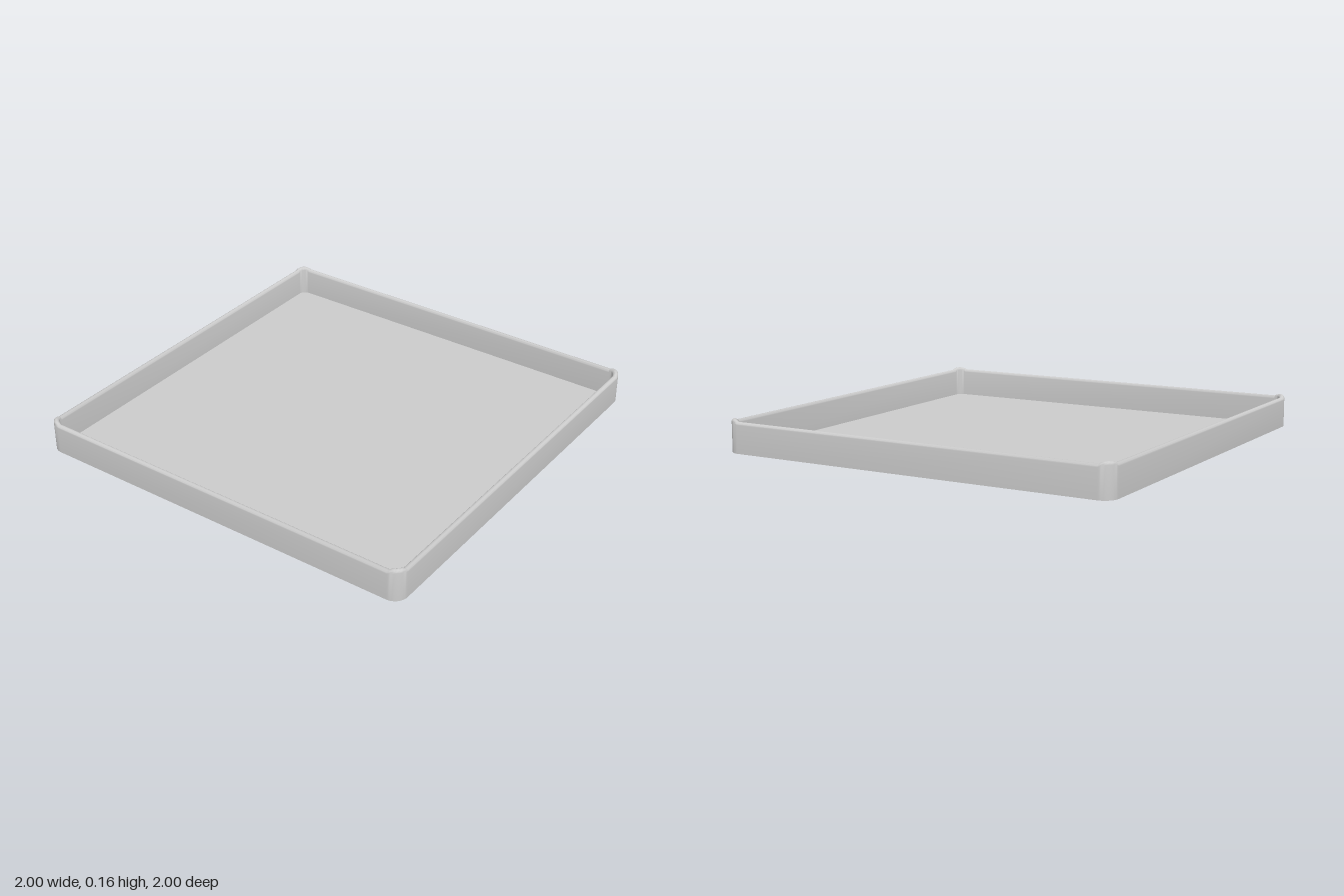
import * as THREE from 'three';
import { toCreasedNormals } from 'three/addons/utils/BufferGeometryUtils.js';

const RADIUS = 0.065, WALL = 0.027, HEIGHT = 0.149, LIFT = 0.011, FLOOR = 0.006;
const ARC = 12; // segments per corner

// Rounded square outline at a given inset; each point also carries its corner lift (0..1)
function outline(inset) {
  const points = [], c = 1 - RADIUS, r = RADIUS - inset;
  for (let k = 0; k < 4; k++) {
    const q = k * Math.PI / 2;
    const cx = c * Math.sign(Math.cos(q + Math.PI / 4));
    const cz = c * Math.sign(Math.sin(q + Math.PI / 4));
    for (let i = 0; i <= ARC; i++) {
      const t = (i / ARC) * Math.PI / 2;
      const lift = Math.pow(Math.max(0, Math.sin(2 * t)), 0.8);
      points.push({ x: cx + r * Math.cos(q + t), z: cz + r * Math.sin(q + t), lift });
    }
  }
  return points;
}

// Wall swept round the outline, with a rounded rim that rises at the corners
function wallGeometry() {
  // [inset, height, share of the corner lift]
  const profile = [[0.01, 0, 0], [0, 0, 0], [0, HEIGHT - 0.014, 1]];
  for (let i = 1; i <= 8; i++) {
    const a = (i / 8) * Math.PI;
    profile.push([WALL / 2 * (1 - Math.cos(a)), HEIGHT - 0.014 + 0.014 * Math.sin(a), 1]);
  }
  profile.push([WALL, FLOOR - 0.001, 0]);

  const positions = [], index = [];
  const n = 4 * (ARC + 1);
  for (const [inset, y, share] of profile) {
    for (const p of outline(inset)) positions.push(p.x, y + p.lift * share * LIFT, p.z);
  }
  for (let j = 0; j < profile.length - 1; j++) {
    for (let i = 0; i < n; i++) {
      const a = j * n + i, b = j * n + (i + 1) % n;
      index.push(a, a + n, b, b, a + n, b + n);
    }
  }
  const geometry = new THREE.BufferGeometry();
  geometry.setAttribute('position', new THREE.Float32BufferAttribute(positions, 3));
  geometry.setIndex(index);
  return toCreasedNormals(geometry, Math.PI / 5);
}

// Thin slab closing the bottom
function floorGeometry() {
  const shape = new THREE.Shape(outline(0.01).map(p => new THREE.Vector2(p.x, p.z)));
  const geometry = new THREE.ExtrudeGeometry(shape, { depth: FLOOR, bevelEnabled: false });
  return geometry.rotateX(-Math.PI / 2);
}

export function createModel() {
  const group = new THREE.Group();
  group.name = 'tray';
  const material = new THREE.MeshStandardMaterial({ color: 0xcccccc });
  const add = (name, geometry) => {
    const mesh = new THREE.Mesh(geometry, material);
    mesh.name = name;
    group.add(mesh);
  };
  add('wall', wallGeometry());
  add('floor', floorGeometry());
  return group;
}
